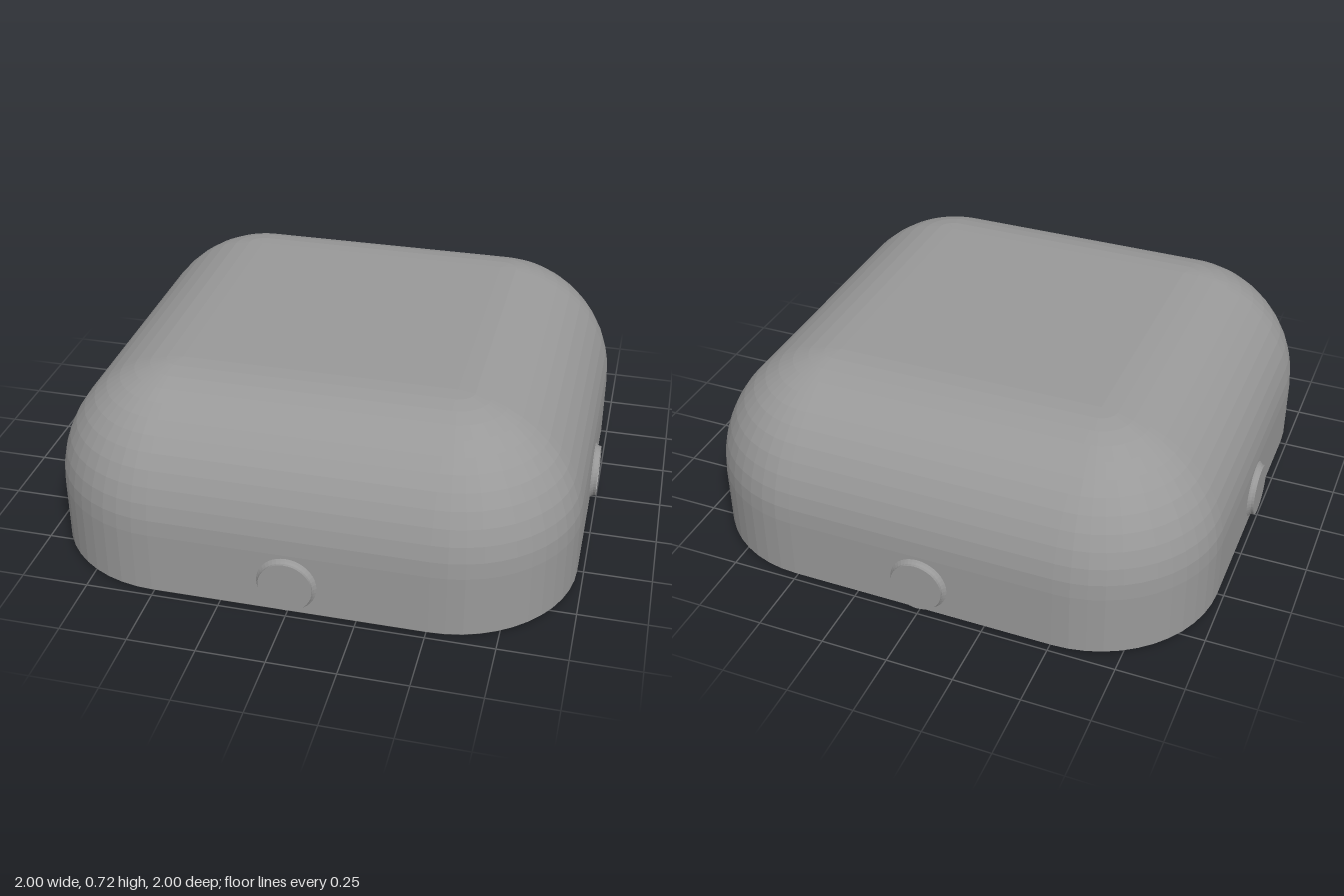
import * as THREE from 'three';

const HALF = 0.977, HEIGHT = 0.716, R = 0.47, BEVEL = 0.008, SEG = 12;
const PORT_Y = 0.124, PORT_R = 0.098, HOLE_R = 0.091;

// Rounded-square loop at height y, inset from the footprint
function ring(y, inset) {
  const pts = [], c = HALF - R, r = R - inset;
  [[1, 1], [-1, 1], [-1, -1], [1, -1]].forEach(([sx, sz], k) => {
    for (let i = 0; i <= SEG; i++) {
      const a = (k + i / SEG) * Math.PI / 2;
      pts.push([sx * c + r * Math.cos(a), y, sz * c + r * Math.sin(a)]);
    }
  });
  return pts;
}

// Domed shell; the flat +x wall is left open for the panel with the socket hole
function shellGeometry() {
  const rings = [ring(0, BEVEL), ring(BEVEL, 0)];
  for (let i = 0; i <= SEG; i++) {
    const t = (i / SEG) * Math.PI / 2;
    rings.push(ring(HEIGHT - R + R * Math.sin(t), R * (1 - Math.cos(t))));
  }
  const pos = [], n = rings[0].length, top = rings[rings.length - 1];
  const tri = (...p) => p.forEach(v => pos.push(...v));
  for (let j = 0; j < rings.length - 1; j++) {
    for (let i = 0; i < n; i++) {
      if (j === 1 && i === n - 1) continue;
      const k = (i + 1) % n;
      const a = rings[j][i], b = rings[j][k], c = rings[j + 1][i], d = rings[j + 1][k];
      tri(a, c, d);
      tri(a, d, b);
    }
  }
  for (let i = 0; i < n; i++) {
    const k = (i + 1) % n;
    tri([0, HEIGHT, 0], top[k], top[i]);
    tri([0, 0, 0], rings[0][i], rings[0][k]);
  }
  const geo = new THREE.BufferGeometry();
  geo.setAttribute('position', new THREE.Float32BufferAttribute(pos, 3));
  geo.computeVertexNormals();
  return geo;
}

// Flat wall with a round hole
function panelGeometry() {
  const w = HALF - R, top = HEIGHT - R;
  const shape = new THREE.Shape();
  shape.moveTo(-w, BEVEL).lineTo(w, BEVEL).lineTo(w, top).lineTo(-w, top).closePath();
  shape.holes.push(new THREE.Path().absarc(0, PORT_Y, HOLE_R + 0.003, 0, Math.PI * 2, true));
  return new THREE.ShapeGeometry(shape, 24).rotateY(Math.PI / 2).translate(HALF, 0, 0);
}

// Turned part pointing along +z
function turned(points) {
  return new THREE.LatheGeometry(points.map(p => new THREE.Vector2(...p)), 40).rotateX(Math.PI / 2);
}

export function createModel() {
  const model = new THREE.Group();
  const grey = new THREE.MeshStandardMaterial({ color: 0x999999, flatShading: true });
  grey.name = 'grey';
  const add = (name, geo) => {
    const mesh = new THREE.Mesh(geo, grey);
    mesh.name = name;
    model.add(mesh);
    return mesh;
  };

  add('body', shellGeometry());
  add('socketWall', panelGeometry());

  // Flared studs on three sides, an open socket on the +x side
  const flare = [[0.112, HALF - 0.002], [0.103, 0.983], [PORT_R, 0.99], [PORT_R, 1]];
  const studGeo = turned([...flare, [0, 1]]);
  const socketGeo = turned([...flare, [HOLE_R, 1], [HOLE_R, 0.7], [0, 0.7]]);
  ['frontStud', 'socket', 'backStud', 'rightStud'].forEach((name, k) => {
    const port = add(name, name === 'socket' ? socketGeo : studGeo);
    port.position.y = PORT_Y;
    port.rotation.y = k * Math.PI / 2;
  });
  return model;
}
